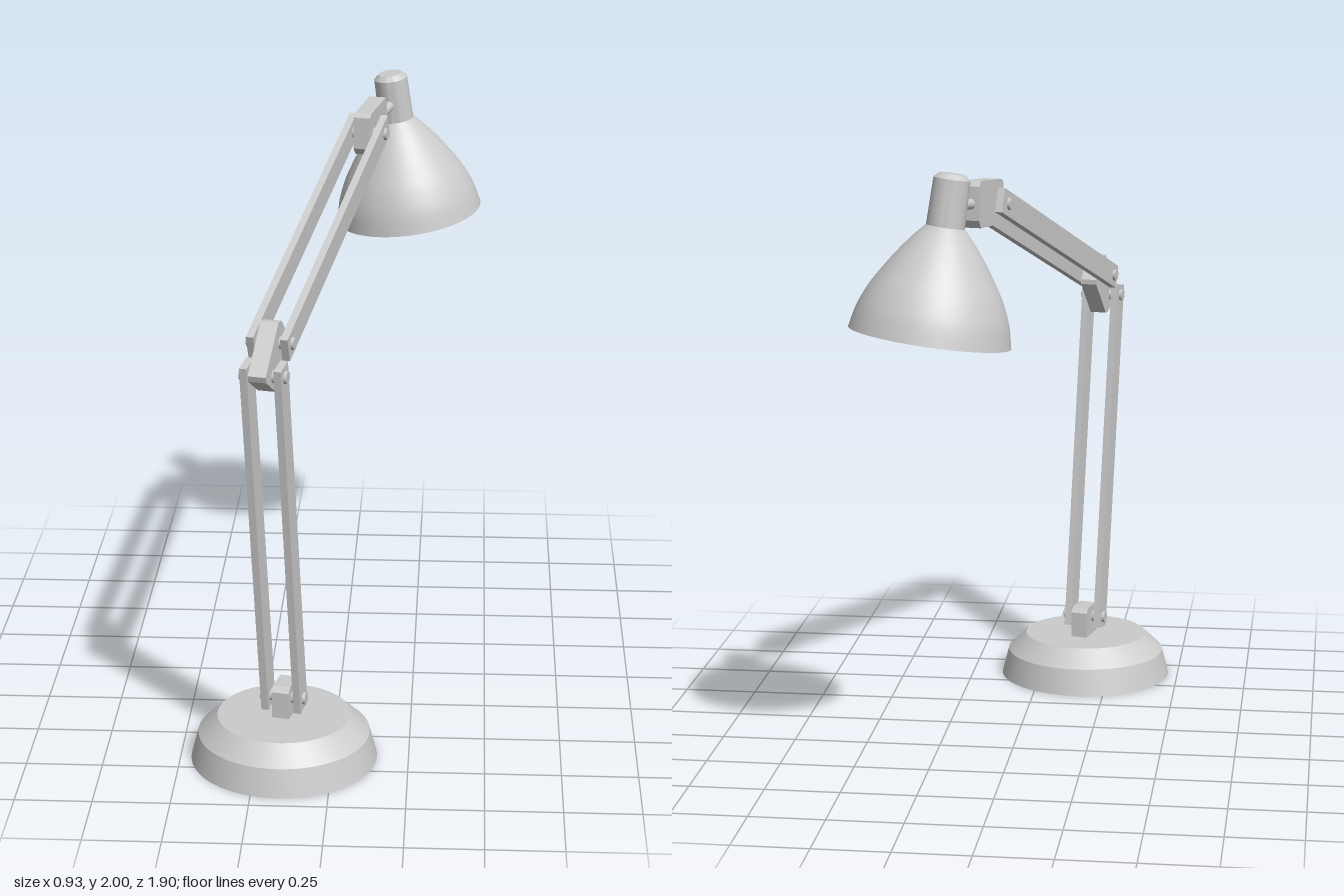
import * as THREE from 'three';
import { toCreasedNormals } from 'three/addons/utils/BufferGeometryUtils.js';

const material = new THREE.MeshStandardMaterial({ color: 0xcccccc });
const shellMaterial = new THREE.MeshStandardMaterial({ color: 0xcccccc, side: THREE.DoubleSide });

function add(parent, name, geometry, mat = material) {
  const mesh = new THREE.Mesh(geometry, mat);
  mesh.name = name;
  parent.add(mesh);
  return mesh;
}

function lathe(points, segments = 64) {
  const geometry = new THREE.LatheGeometry(points.map(([r, y]) => new THREE.Vector2(r, y)), segments);
  return toCreasedNormals(geometry, 0.35);
}

// Plate with a side profile of [forward, up] points, centred on the given side offset
function slab(points, width, side = 0) {
  const shape = new THREE.Shape(points.map(([u, y]) => new THREE.Vector2(u, y)));
  const geometry = new THREE.ExtrudeGeometry(shape, { depth: width, bevelEnabled: false });
  return geometry.translate(0, 0, -width / 2).rotateY(Math.PI / 2).translate(side, 0, 0);
}

// Profile of a straight bar reaching past both of its pivots
function barProfile(a, b, width, startOver, endOver) {
  const length = Math.hypot(b[0] - a[0], b[1] - a[1]);
  const du = (b[0] - a[0]) / length, dy = (b[1] - a[1]) / length, h = width / 2;
  return [[-startOver, -h], [length + endOver, -h], [length + endOver, h], [-startOver, h]]
    .map(([p, q]) => [a[0] + du * p - dy * q, a[1] + dy * p + du * q]);
}

export function createModel() {
  const lamp = new THREE.Group();
  lamp.name = 'deskLamp';

  // Heavy round foot
  const base = add(lamp, 'base', lathe([[0, 0], [0.306, 0], [0.282, 0.092], [0.218, 0.152], [0, 0.152]]));
  base.position.set(-0.16, 0, 0.645);

  // Swivelled arm assembly, forward along its local -z
  const arm = new THREE.Group();
  arm.name = 'arm';
  arm.position.copy(base.position);
  arm.rotation.y = THREE.MathUtils.degToRad(-13);
  lamp.add(arm);

  const basePivot = [0, 0.215];
  const elbowLow = [-0.179, 1.385];
  const elbowHigh = [-0.102, 1.47];
  const wristPivot = [0.997, 1.865];

  // Paired bars
  for (const side of [-0.055, 0.055]) {
    add(arm, 'lowerBar', slab(barProfile(basePivot, elbowLow, 0.078, 0.037, 0.037), 0.024, side));
    add(arm, 'upperBar', slab(barProfile(elbowHigh, wristPivot, 0.08, 0.038, 0.055), 0.024, side));
  }

  // Pivot pins
  for (const [u, y] of [basePivot, elbowLow, elbowHigh, wristPivot]) {
    const pin = add(arm, 'pivotPin', new THREE.CylinderGeometry(0.02, 0.02, 0.154, 24));
    pin.rotation.z = Math.PI / 2;
    pin.position.set(0, y, -u);
  }

  // Joint blocks between the bars
  const blockWidth = 0.058;
  add(arm, 'baseBracket', slab(
    [[-0.04, 0.145], [0.075, 0.145], [0.075, 0.242], [0.06, 0.26], [-0.025, 0.26], [-0.04, 0.242]], blockWidth));
  add(arm, 'elbowBlock', slab(
    [[-0.255, 1.405], [-0.248, 1.385], [-0.152, 1.325], [-0.127, 1.325], [-0.014, 1.445],
      [-0.014, 1.462], [-0.085, 1.535], [-0.117, 1.54]], blockWidth));
  add(arm, 'wristBlock', slab(
    [[0.946, 1.82], [0.97, 1.796], [1.152, 1.805], [1.168, 1.83], [1.164, 1.938],
      [1.148, 1.955], [0.962, 1.94], [0.946, 1.928]], blockWidth));

  // Thin stem from the wrist to the head
  const stemPath = new THREE.LineCurve3(new THREE.Vector3(0, 1.88, -1.13), new THREE.Vector3(0.008, 1.895, -1.33));
  add(arm, 'stem', new THREE.TubeGeometry(stemPath, 1, 0.017, 20));

  // Tilted head, with the shade's rim at its origin
  const head = new THREE.Group();
  head.name = 'head';
  head.position.set(0.205, 1.49, -0.692);
  head.quaternion.setFromUnitVectors(
    new THREE.Vector3(0, 1, 0), new THREE.Vector3(-0.137, 1, 0.08).normalize());
  lamp.add(head);

  add(head, 'socket', lathe([[0, 0.345], [0.061, 0.345], [0.058, 0.498], [0.041, 0.514], [0, 0.514]], 40));

  // Flared open shade
  const flare = new THREE.SplineCurve(
    [[0.257, 0], [0.241, 0.07], [0.214, 0.135], [0.185, 0.185], [0.142, 0.25], [0.1, 0.305], [0.058, 0.352]]
      .map(([r, y]) => new THREE.Vector2(r, y)));
  add(head, 'shade', new THREE.LatheGeometry(flare.getPoints(24), 64), shellMaterial);

  return lamp;
}
